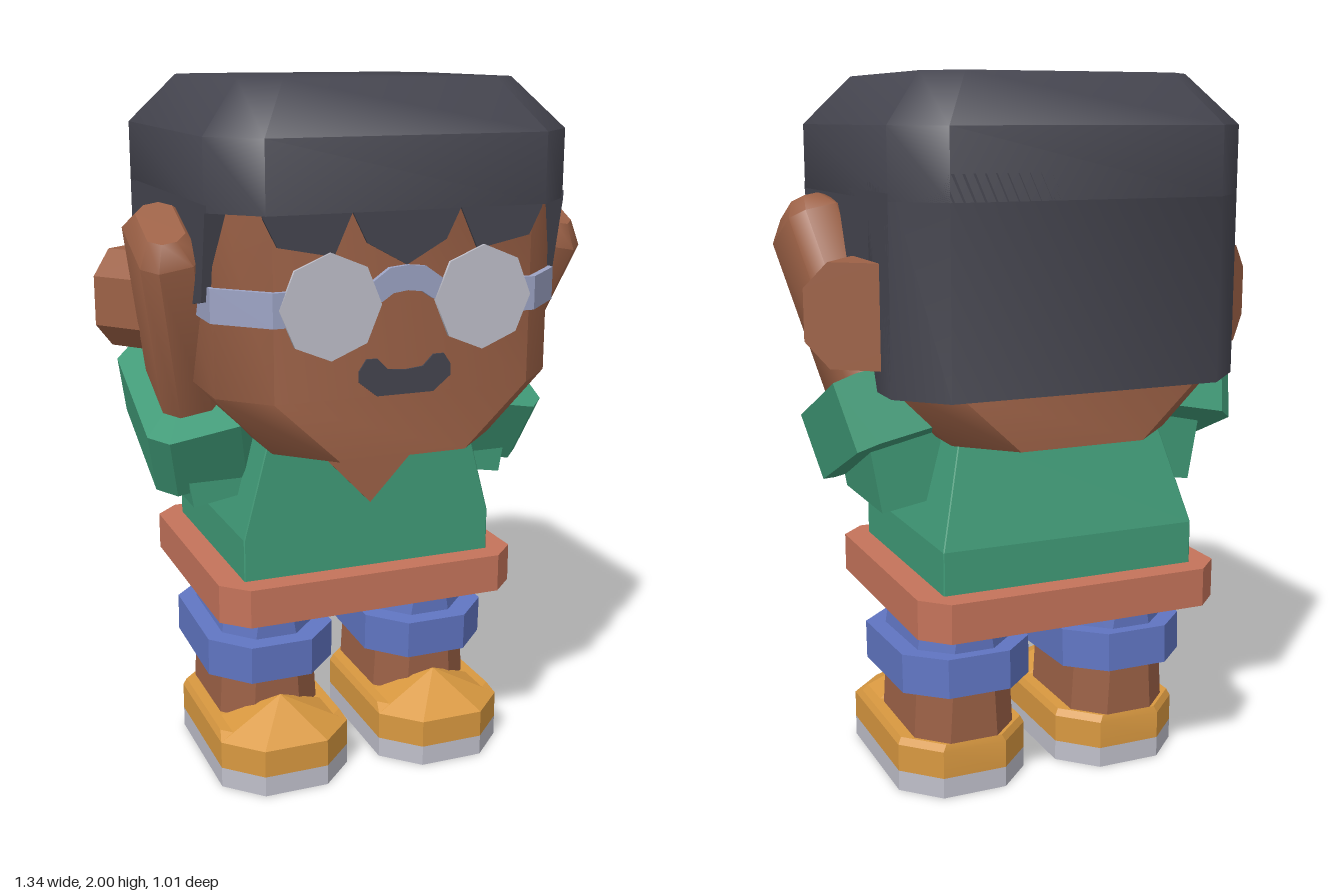
import * as THREE from 'three';
import { toCreasedNormals } from 'three/addons/utils/BufferGeometryUtils.js';
import { ConvexGeometry } from 'three/addons/geometries/ConvexGeometry.js';

function makeMaterials() {
  const colors = {
    skin: 0x9c6146, hair: 0x45454f, shirt: 0x409a77, belt: 0xc4735a, shorts: 0x6075c2,
    shoe: 0xd89840, sole: 0xbfbfca, frame: 0x9ca3c4
  };
  const mats = {};
  for (const [name, color] of Object.entries(colors)) {
    mats[name] = new THREE.MeshStandardMaterial({ color });
    mats[name].name = name;
  }
  return mats;
}

// Stack of rectangles with cut corners, each ring [y, x0, x1, z0, z1, cut].
function loft(rings, crease = 0.3) {
  const pos = [], idx = [];
  for (const [y, x0, x1, z0, z1, c] of rings) {
    const ring = [[x1, z0 + c], [x1, z1 - c], [x1 - c, z1], [x0 + c, z1],
      [x0, z1 - c], [x0, z0 + c], [x0 + c, z0], [x1 - c, z0]];
    for (const [x, z] of ring) pos.push(x, y, z);
  }
  const last = (rings.length - 1) * 8, bottom = rings.length * 8, top = bottom + 1;
  for (const [y, x0, x1, z0, z1] of [rings[0], rings[rings.length - 1]]) {
    pos.push((x0 + x1) / 2, y, (z0 + z1) / 2);
  }
  for (let i = 0; i < 8; i++) {
    const j = (i + 1) % 8;
    for (let r = 0; r < last; r += 8) {
      idx.push(r + i, r + 8 + i, r + 8 + j, r + i, r + 8 + j, r + j);
    }
    idx.push(bottom, i, j, top, last + j, last + i);
  }
  const g = new THREE.BufferGeometry();
  g.setAttribute('position', new THREE.Float32BufferAttribute(pos, 3));
  g.setIndex(idx);
  return toCreasedNormals(g, crease);
}

// Straight extrusion of a list of [x, y] points.
function plate(points, depth) {
  const shape = new THREE.Shape(points.map(([x, y]) => new THREE.Vector2(x, y)));
  return new THREE.ExtrudeGeometry(shape, { depth, bevelEnabled: false });
}

// Completes a half outline (right side, top to bottom) with its mirror image.
const mirrored = (half) => [...half, ...half.filter(([x]) => x !== 0).reverse().map(([x, y]) => [-x, y])];

export function createModel() {
  const model = new THREE.Group();
  model.name = 'figure';
  const m = makeMaterials();
  const add = (name, geo, mat, parent = model) => {
    const mesh = new THREE.Mesh(geo, mat);
    mesh.name = name;
    parent.add(mesh);
    return mesh;
  };

  // Head, tapering sideways to the chin
  add('head', loft([
    [1.03, -0.32, 0.32, -0.47, 0.48, 0.14],
    [1.2, -0.48, 0.48, -0.47, 0.48, 0.12],
    [1.8, -0.48, 0.48, -0.47, 0.48, 0.12]], 0.8), m.skin);

  // Hair: cap, back, sides and fringe
  add('hairCap', loft([
    [1.68, -0.505, 0.505, -0.505, 0.505, 0.12],
    [1.865, -0.505, 0.505, -0.505, 0.505, 0.12],
    [2.0, -0.385, 0.385, -0.385, 0.385, 0.09]], 1.0), m.hair);
  add('hairBack', loft([
    [1.18, -0.505, 0.505, -0.505, -0.1, 0.12],
    [1.75, -0.505, 0.505, -0.505, -0.1, 0.12]], 0.8), m.hair);
  const sides = plate([[-0.39, 1.7], [-0.39, 1.68], [-0.34, 1.45], [-0.1, 1.4], [0.1, 1.35],
    [0.18, 1.18], [0.385, 1.18], [0.385, 1.7]], 1.01);
  sides.rotateY(Math.PI / 2).translate(-0.505, 0, 0);
  add('hairSides', sides, m.hair);
  const fringe = plate(mirrored([[0.39, 1.7], [0.385, 1.67], [0.35, 1.6], [0.2, 1.57], [0.15, 1.68],
    [0.11, 1.6], [0, 1.54]]), 0.009);
  add('fringe', fringe.translate(0, 0, 0.478), m.hair);

  // Mouth and nose
  const mouth = plate(mirrored([[0, 1.265], [0.05, 1.27], [0.08, 1.3], [0.11, 1.3], [0.13, 1.27],
    [0.13, 1.24], [0.08, 1.2]]), 0.009);
  add('mouth', mouth.translate(0, 0, 0.476), m.hair);

  // Glasses
  const arch = mirrored([[0, 1.54], [0.05, 1.535], [0.1, 1.5], [0.1, 1.44], [0.07, 1.45], [0.04, 1.47], [0, 1.475]]);
  add('glassesBridge', plate(arch, 0.02).translate(0, 0, 0.475), m.frame);
  for (const s of [1, -1]) {
    const lens = new THREE.CylinderGeometry(0.138, 0.138, 0.009, 8);
    lens.rotateX(Math.PI / 2).translate(s * 0.213, 1.445, 0.497);
    add('lens', lens, m.sole);
    const temple = plate([[0.25, -0.497], [0.367, -0.497], [0.492, -0.372], [0.492, -0.1],
      [0.46, -0.1], [0.46, -0.35], [0.35, -0.47], [0.25, -0.47]].map(([x, y]) => [s * x, y]), 0.09);
    add('glassesTemple', temple.rotateX(-Math.PI / 2).translate(0, 1.4, 0), m.frame);
  }

  // Ears
  const ear = plate([[0.14, 0.07], [0.07, 0.14], [-0.07, 0.14], [-0.14, 0.07],
    [-0.14, -0.07], [-0.07, -0.14], [0.07, -0.14], [0.14, -0.07]], 0.165);
  ear.translate(0, 0, -0.0825);
  for (const s of [1, -1]) {
    const mesh = add('ear', ear, m.skin);
    mesh.position.set(s * 0.51, 1.38, -0.197);
    mesh.rotation.y = -s * 0.67;
  }

  // Shirt, neckline and belt
  add('shirt', loft([
    [0.6, -0.375, 0.375, -0.405, 0.25, 0.003],
    [0.76, -0.375, 0.375, -0.405, 0.25, 0.003],
    [1.06, -0.295, 0.295, -0.325, 0.25, 0.003]], 0.2), m.shirt);
  add('neckline', plate([[0.19, 1.03], [-0.19, 1.03], [0, 0.83]], 0.007).translate(0, 0, 0.247), m.skin);
  add('belt', loft([
    [0.53, -0.45, 0.45, -0.475, 0.32, 0.07],
    [0.64, -0.45, 0.45, -0.475, 0.32, 0.07]]), m.belt);

  // Raised arms
  for (const s of [1, -1]) {
    const upper = add('upperSleeve', new THREE.BoxGeometry(0.2, 0.24, 0.33), m.shirt);
    upper.position.set(s * 0.4, 0.965, -0.045);
    upper.rotation.z = -s * 0.17;
    const arm = new THREE.Group();
    arm.name = 'raisedArm';
    arm.position.set(s * 0.44, 1.064, -0.065);
    arm.rotation.set(0.42, 0, -s * 0.2);
    model.add(arm);
    add('cuff', loft([
      [-0.098, -0.15, 0.15, -0.235, 0.235, 0.05],
      [0.098, -0.15, 0.15, -0.235, 0.235, 0.05]]), m.shirt, arm);
    add('forearm', loft([
      [0, -0.085, 0.085, -0.14, 0.14, 0.04],
      [0.585, -0.085, 0.085, -0.145, 0.145, 0.04],
      [0.64, -0.05, 0.05, -0.1, 0.1, 0.03]], 0.8), m.skin, arm);
  }

  // Legs and shoes
  for (const s of [1, -1]) {
    const leg = new THREE.Group();
    leg.name = 'leg';
    leg.position.x = s * 0.247;
    model.add(leg);
    add('shortsLeg', loft([
      [0.4, -0.143, 0.143, -0.3, 0.14, 0.08],
      [0.54, -0.122, 0.122, -0.3, 0.14, 0.08]]), m.shorts, leg);
    const hem = loft([
      [-0.056, -0.192, 0.192, -0.265, 0.265, 0.1],
      [0.056, -0.192, 0.192, -0.265, 0.265, 0.1]]);
    add('shortsHem', hem.rotateX(0.04).translate(0, 0.363, -0.075), m.shorts, leg);
    add('shin', loft([
      [0.1, -0.155, 0.155, -0.295, 0.14, 0.08],
      [0.36, -0.14, 0.14, -0.295, 0.14, 0.08]]), m.skin, leg);
    add('shoe', loft([
      [0.06, -0.195, 0.195, -0.3, 0.31, 0.1],
      [0.14, -0.195, 0.195, -0.3, 0.31, 0.1],
      [0.16, -0.185, 0.185, -0.295, 0.27, 0.1]]), m.shoe, leg);
    const toe = [[0, 0.24, 0.17], [0, 0.165, 0.06]];
    for (const x of [1, -1]) toe.push([x * 0.195, 0.14, 0.21], [x * 0.095, 0.14, 0.31], [x * 0.195, 0.14, 0.06]);
    add('toeCap', new ConvexGeometry(toe.map((p) => new THREE.Vector3(...p))), m.shoe, leg);
    add('sole', loft([
      [0, -0.195, 0.195, -0.3, 0.31, 0.1],
      [0.06, -0.195, 0.195, -0.3, 0.31, 0.1]]), m.sole, leg);
  }
  return model;
}
